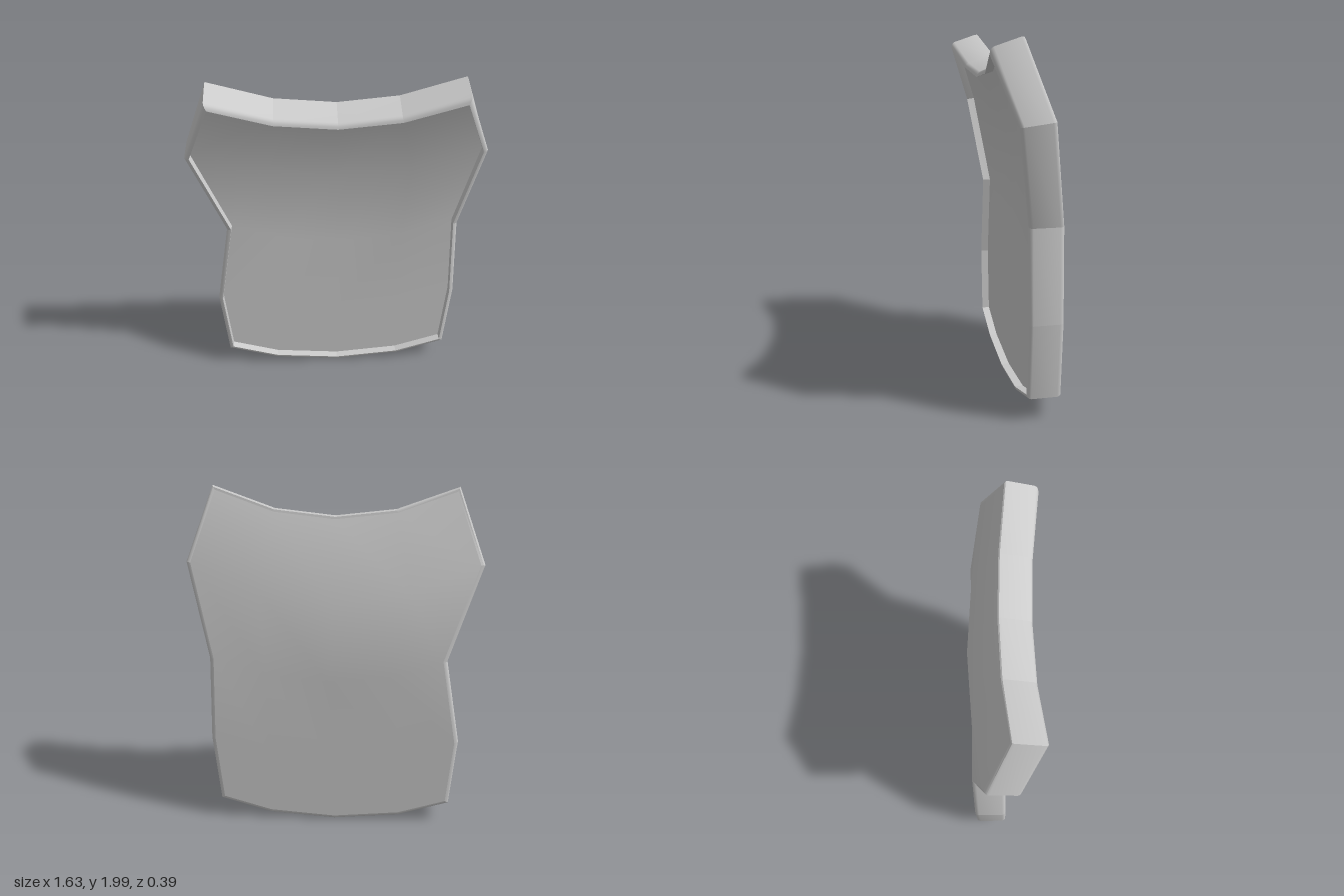
import * as THREE from 'three';
import { toCreasedNormals } from 'three/addons/utils/BufferGeometryUtils.js';

// Outline, counter-clockwise from the bottom corner at -x; four spans per side
const OUTLINE = [
  [-0.69, 0.13], [-0.39, 0.035], [0, 0], [0.39, 0.035],
  [0.69, 0.13], [0.725, 0.55], [0.705, 1.06], [0.815, 1.6],
  [0.67, 2.0], [0.33, 1.885], [0, 1.85], [-0.33, 1.885],
  [-0.67, 2.0], [-0.815, 1.6], [-0.635, 1.06], [-0.725, 0.55],
];
const N = OUTLINE.length;

// Rim cross-section: [inset from outline, distance forward of the back]
const PROFILE = [
  [0.024, 0], [0.011, 0.003], [0.003, 0.011], [0, 0.024],
  [0, 0.164], [0.003, 0.175], [0.011, 0.182], [0.024, 0.185], [0.026, 0.14],
];

// Piecewise linear lookup
function ramp(keys, y) {
  if (y <= keys[0][0]) return keys[0][1];
  for (let i = 1; i < keys.length; i++) {
    const [y0, a] = keys[i - 1], [y1, b] = keys[i];
    if (y <= y1) return a + (b - a) * (y - y0) / (y1 - y0);
  }
  return keys[keys.length - 1][1];
}
const bend = (y) => ramp([[1.06, 0], [1.6, 0.075], [2, 0.2]], y);
const lean = (y) => ramp([[1.06, 0], [1.6, 0.13], [1.85, 0.32]], y);

// Outline moved inward by t (mitred) and forward by d along the bent wall
function ring([t, d]) {
  return OUTLINE.map(([x, y], i) => {
    const p = new THREE.Vector2(...OUTLINE[(i + N - 1) % N]);
    const q = new THREE.Vector2(...OUTLINE[(i + 1) % N]);
    const c = new THREE.Vector2(x, y);
    const a = c.clone().sub(p).normalize(), b = q.sub(c).normalize();
    const n1 = new THREE.Vector2(-a.y, a.x), n2 = new THREE.Vector2(-b.y, b.x);
    const m = n1.clone().add(n2).multiplyScalar(t / (1 + n1.dot(n2)));
    const l = lean(y);
    return new THREE.Vector3(x + m.x, y + m.y - l * d, -0.18 + bend(y) + d * Math.sqrt(1 - l * l));
  });
}

function geometry(points, index) {
  const g = new THREE.BufferGeometry().setFromPoints(points);
  g.setIndex(index);
  g.computeVertexNormals();
  return g;
}

// Panel filling a ring: blended from its four sides, dished along the fold row
function panel(r, front) {
  const pts = [], index = [];
  const sag = [0, 0.055, 0.085, 0.055, 0], drop = [0, 0.04, 0.065, 0.04, 0];
  for (let j = 0; j <= 4; j++) {
    for (let i = 0; i <= 4; i++) {
      const u = i / 4, v = j / 4;
      const left = r[(16 - j) % N], right = r[4 + j], low = r[i], high = r[12 - i];
      const p = left.clone().lerp(right, u);
      if (j === 0) p.copy(low);
      else if (j === 4) p.copy(high);
      else {
        const z = p.z;
        const corners = r[0].clone().lerp(r[4], u).lerp(r[12].clone().lerp(r[8], u), v);
        p.add(low.clone().lerp(high, v)).sub(corners);
        p.z = z;
        if (j === 3) { p.z -= sag[i]; p.y -= drop[i]; }
      }
      pts.push(p);
    }
  }
  for (let j = 0; j < 4; j++) for (let i = 0; i < 4; i++) {
    const a = j * 5 + i, b = a + 1, c = a + 6, d = a + 5;
    index.push(...(front ? [a, b, c, a, c, d] : [a, c, b, a, d, c]));
  }
  return geometry(pts, index);
}

// One straight length of rim between two outline corners
function rimSegment(rings, i) {
  const k = (i + 1) % N, pts = [], index = [];
  rings.forEach((r) => pts.push(r[i], r[k]));
  for (let s = 0; s < rings.length - 1; s++) {
    const a = s * 2;
    index.push(a, a + 1, a + 3, a, a + 3, a + 2);
  }
  return toCreasedNormals(geometry(pts, index), 0.7);
}

export function createModel() {
  const model = new THREE.Group();
  model.name = 'curvedPlate';
  const material = new THREE.MeshStandardMaterial({ color: 0xcccccc, side: THREE.DoubleSide });
  const rings = PROFILE.map(ring);
  const add = (parent, name, geo) => {
    const mesh = new THREE.Mesh(geo, material);
    mesh.name = name;
    parent.add(mesh);
  };

  // Back and recessed front faces
  add(model, 'backPanel', panel(rings[0], false));
  add(model, 'frontPanel', panel(rings[rings.length - 1], true));

  // Raised rim with rounded edges
  const rim = new THREE.Group();
  rim.name = 'rim';
  model.add(rim);
  for (let i = 0; i < N; i++) add(rim, 'rimSegment', rimSegment(rings, i));
  return model;
}
